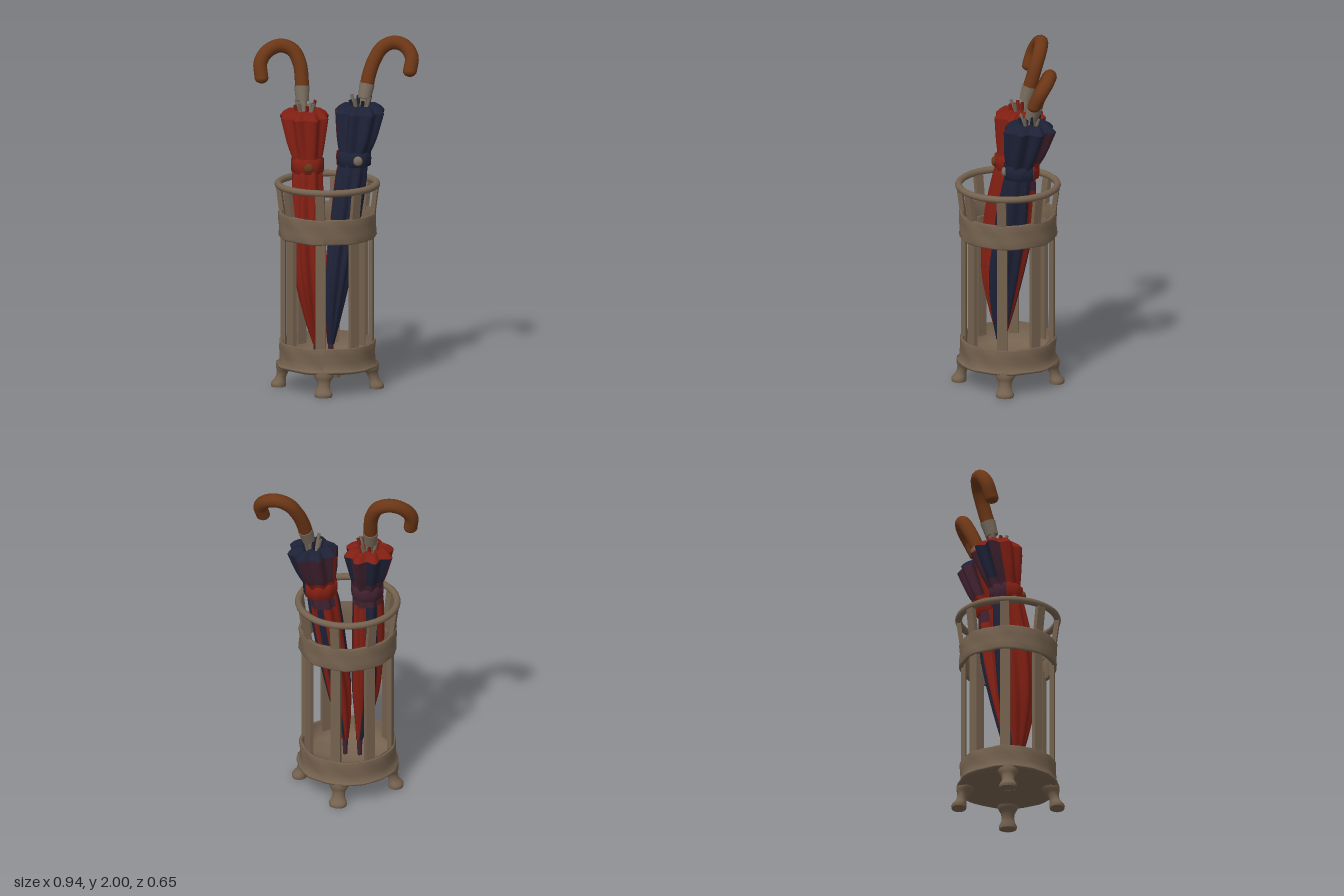
import * as THREE from 'three';

const mat = (name, color) => Object.assign(new THREE.MeshStandardMaterial({ color, side: THREE.DoubleSide }), { name });

// Skin over horizontal rings [x, y, z, radius, pleat depth]; zScale(y) makes rings oval,
// colourAt(degrees, y) picks a material index
function loft(rings, cols, { twist = 0, zScale = () => 1, colourAt = () => 0 } = {}) {
  const pos = [], buckets = [[], [], []], geo = new THREE.BufferGeometry();
  for (const [x, y, z, r, depth] of rings) {
    for (let j = 0; j < cols; j++) {
      const a = (j / cols) * Math.PI * 2;
      const rr = r * (1 + depth * Math.cos(8 * a + twist * y) + depth * 0.4 * Math.sin(3 * a + y * 4));
      pos.push(x + rr * Math.sin(a), y, z + rr * Math.cos(a) * zScale(y));
    }
  }
  for (let i = 0; i < rings.length - 1; i++) {
    for (let j = 0; j < cols; j++) {
      const k = (j + 1) % cols, p = i * cols, q = p + cols;
      buckets[colourAt(((j + 0.5) / cols) * 360, rings[i][1])].push(p + j, p + k, q + k, p + j, q + k, q + j);
    }
  }
  let start = 0;
  buckets.forEach((b, i) => {
    geo.addGroup(start, b.length, i);
    start += b.length;
  });
  geo.setAttribute('position', new THREE.Float32BufferAttribute(pos, 3));
  geo.setIndex(buckets.flat());
  geo.computeVertexNormals();
  return geo;
}

// Smoothly resample a list of rings
function smoothRings(rings, steps) {
  const curve = pts => new THREE.CatmullRomCurve3(pts, false, 'catmullrom', 0.5);
  const path = curve(rings.map(r => new THREE.Vector3(r[0], r[1], r[2])));
  const size = curve(rings.map(r => new THREE.Vector3(r[3], r[4], 0)));
  return Array.from({ length: steps + 1 }, (_, i) => {
    const p = path.getPoint(i / steps), s = size.getPoint(i / steps);
    return [p.x, p.y, p.z, s.x, s.y];
  });
}

export function createModel() {
  const bronze = mat('bronze', 0x75624f), wood = mat('wood', 0x6b3616), red = mat('redCloth', 0x821f13);
  const navy = mat('navyCloth', 0x1e2237), maroon = mat('maroonCloth', 0x412230), metal = mat('collarMetal', 0x776b5d);
  const cloth = [red, navy, maroon];
  const model = new THREE.Group();
  model.name = 'umbrellaStand';
  const add = (parent, name, geo, material) => {
    const m = new THREE.Mesh(geo, material);
    m.name = name;
    parent.add(m);
    return m;
  };

  // ---- Stand ----
  const stand = new THREE.Group();
  stand.name = 'stand';
  stand.position.x = -0.035;
  model.add(stand);

  // Hammered bands: lathe with shallow dents
  const band = (name, points) => {
    const geo = new THREE.LatheGeometry(points.map(p => new THREE.Vector2(...p)), 48);
    const p = geo.attributes.position;
    for (let i = 0; i < p.count; i++) {
      const x = p.getX(i), y = p.getY(i), z = p.getZ(i), a = Math.atan2(x, z);
      const k = 1 + 0.008 * Math.sin(9 * a + y * 40) + 0.008 * Math.cos(16 * a - y * 60);
      if (Math.hypot(x, z) > 0.2) p.setXYZ(i, x * k, y + 0.002 * Math.sin(7 * a), z * k);
    }
    geo.computeVertexNormals();
    add(stand, name, geo, bronze);
  };
  band('base', [[0, 0.125], [0.275, 0.125], [0.29, 0.133], [0.29, 0.143], [0.273, 0.152], [0.273, 0.19], [0.273, 0.23],
    [0.276, 0.268], [0.268, 0.275], [0.252, 0.27], [0.25, 0.16], [0, 0.155]]);
  band('upperBand', [[0.255, 0.885], [0.272, 0.88], [0.28, 0.89], [0.277, 0.93], [0.277, 0.975], [0.28, 1.018],
    [0.272, 1.028], [0.255, 1.022], [0.253, 0.955], [0.255, 0.885]]);

  const rim = add(stand, 'topRing', new THREE.TorusGeometry(0.282, 0.02, 10, 40), bronze);
  rim.rotation.x = Math.PI / 2;
  rim.position.y = 1.185;

  // Eight upright slats with short flared posts above them
  for (let i = 0; i < 8; i++) {
    const side = new THREE.Group();
    side.name = 'slat' + (i + 1);
    side.rotation.y = (i * Math.PI) / 4 - 0.07;
    stand.add(side);
    add(side, 'upright', new THREE.BoxGeometry(0.058, 0.72, 0.025), bronze).position.set(0, 0.57, 0.253);
    const post = add(side, 'flaredPost', new THREE.BoxGeometry(0.052, 0.19, 0.026), bronze);
    post.position.set(0, 1.1, 0.272);
    post.rotation.x = 0.13;
  }

  // Four splayed feet
  const footGeo = loft(smoothRings([[0, 0, 0.28, 0.05, 0], [0, 0.02, 0.28, 0.051, 0], [0, 0.05, 0.268, 0.037, 0],
    [0, 0.085, 0.256, 0.04, 0], [0, 0.115, 0.246, 0.058, 0], [0, 0.145, 0.24, 0.062, 0]], 15), 16, { zScale: () => 0.84 });
  for (let i = 0; i < 4; i++) {
    const foot = add(stand, 'foot' + (i + 1), footGeo, [bronze]);
    foot.rotation.y = (i * Math.PI) / 2;
    const sole = add(foot, 'sole', new THREE.CircleGeometry(0.05, 16), bronze);
    sole.rotation.x = Math.PI / 2;
    sole.scale.y = 0.84;
    sole.position.set(0, 0.001, 0.28);
  }

  // ---- Umbrellas ----
  // The furled lower cloth is deeper than wide, rounder towards the mouth
  const zScale = y => 1.28 - 0.25 * THREE.MathUtils.smoothstep(y, 0.95, 1.3);

  function umbrella({ name, rings, colourAt, main, handle, strapY, button, buttonMaterial }) {
    const g = new THREE.Group();
    g.name = name;
    model.add(g);

    // Furled cloth and the folds gathered at its mouth
    const body = smoothRings(rings, 40);
    const [tx, ty, tz, tr] = body[body.length - 1];
    add(g, 'furledCloth', loft(body, 64, { twist: 1.5, zScale, colourAt }), cloth);
    const mouth = [[0, 1, 0.14], [0.025, 0.82, 0.18], [0.045, 0.6, 0.2], [0.02, 0.46, 0.2], [-0.07, 0.18, 0]]
      .map(([dy, k, depth]) => [tx, ty + dy, tz, tr * k, depth]);
    add(g, 'mouthFolds', loft(mouth, 64, { twist: 1.5, zScale }), [main]);

    // Tip below the cloth
    const [bx, by, bz] = rings[0];
    add(g, 'tip', new THREE.CylinderGeometry(0.017, 0.012, 0.14, 10), maroon).position.set(bx, by - 0.05, bz);

    // Strap and button
    const [sx, , sz, sr] = body.reduce((b, r) => (Math.abs(r[1] - strapY) < Math.abs(b[1] - strapY) ? r : b));
    const strap = [[-0.045, 0.9], [-0.04, 1.12], [0, 1.16], [0.04, 1.14], [0.045, 0.9]]
      .map(([dy, k]) => [sx, strapY + dy, sz, sr * k, 0.035]);
    add(g, 'strap', loft(strap, 32, { zScale, colourAt }), cloth);
    const knob = add(g, 'button', new THREE.SphereGeometry(0.028, 14, 10), buttonMaterial);
    knob.position.set(...button);
    knob.scale.z = 0.6;

    // Shaft, collar and rib ends
    const path = new THREE.CatmullRomCurve3(handle.map(p => new THREE.Vector3(...p)));
    const top = path.getPoint(0), dir = path.getTangent(0);
    const shaft = new THREE.LineCurve3(new THREE.Vector3(tx, ty - 0.06, tz), top);
    add(g, 'shaft', new THREE.TubeGeometry(shaft, 1, 0.023, 10), metal);
    const collar = add(g, 'collar', new THREE.CylinderGeometry(0.044, 0.037, 0.085, 16), metal);
    collar.position.copy(top).addScaledVector(dir, -0.03);
    collar.quaternion.setFromUnitVectors(new THREE.Vector3(0, 1, 0), dir);
    for (let i = 0; i < 8; i++) {
      const a = (i * Math.PI) / 4 + 0.3, s = Math.sin(a), c = Math.cos(a);
      const rib = new THREE.LineCurve3(new THREE.Vector3(tx + 0.03 * s, ty - 0.03, tz + 0.03 * c),
        new THREE.Vector3(tx + 0.06 * s, ty + 0.07 + 0.012 * (i % 3), tz + 0.06 * c));
      add(g, 'rib' + (i + 1), new THREE.TubeGeometry(rib, 1, 0.01, 6), i % 2 ? metal : main);
    }

    // Crook handle with rounded end
    add(g, 'handle', new THREE.TubeGeometry(path, 32, 0.04, 14), wood);
    const end = add(g, 'handleEnd', new THREE.SphereGeometry(0.04, 14, 10), wood);
    end.position.copy(path.getPoint(1));
    end.scale.y = 0.8;
  }

  umbrella({
    name: 'redUmbrella', main: red, strapY: 1.29, button: [-0.135, 1.29, 0.085], buttonMaterial: wood,
    colourAt: (d, y) => {
      if (d < 80 || d > 275) return 0;
      if (y < 1.2) return (d > 185 && d < 235) || (d > 110 && d < 130) ? 1 : 0;
      if (y < 1.36) return 2;
      return d < 135 || (d > 185 && d < 245) ? 1 : 2;
    },
    rings: [[-0.095, 0.26, 0.045, 0.02, 0], [-0.115, 0.42, 0.05, 0.048, 0.08], [-0.135, 0.65, 0.046, 0.08, 0.1],
      [-0.147, 0.92, 0.03, 0.086, 0.1], [-0.15, 1.2, 0.002, 0.086, 0.08], [-0.15, 1.3, -0.012, 0.08, 0.05],
      [-0.16, 1.42, -0.035, 0.104, 0.11], [-0.168, 1.56, -0.06, 0.13, 0.14]],
    handle: [[-0.19, 1.715, -0.112], [-0.193, 1.77, -0.128], [-0.206, 1.85, -0.15], [-0.245, 1.922, -0.17],
      [-0.315, 1.949, -0.172], [-0.387, 1.922, -0.15], [-0.428, 1.86, -0.12], [-0.42, 1.775, -0.095]],
  });
  umbrella({
    name: 'navyUmbrella', main: navy, strapY: 1.32, button: [0.14, 1.32, 0.01], buttonMaterial: metal,
    colourAt: (d, y) => {
      if (d < 135 || d > 285) return 1;
      if (y < 1.2) return d > 170 && d < 190 ? 1 : 0;
      return (y > 1.27 && y < 1.37) || d > 250 ? 0 : 2;
    },
    rings: [[-0.012, 0.26, 0.04, 0.02, 0], [0, 0.42, 0.028, 0.045, 0.08], [0.022, 0.65, 0.005, 0.07, 0.1],
      [0.056, 0.92, -0.035, 0.08, 0.1], [0.092, 1.2, -0.067, 0.087, 0.08], [0.108, 1.32, -0.083, 0.083, 0.05],
      [0.125, 1.43, -0.105, 0.108, 0.11], [0.143, 1.58, -0.135, 0.132, 0.14]],
    handle: [[0.176, 1.72, -0.168], [0.187, 1.78, -0.188], [0.213, 1.86, -0.22], [0.26, 1.932, -0.25],
      [0.325, 1.959, -0.262], [0.39, 1.94, -0.25], [0.43, 1.885, -0.215], [0.422, 1.81, -0.18]],
  });

  return model;
}
